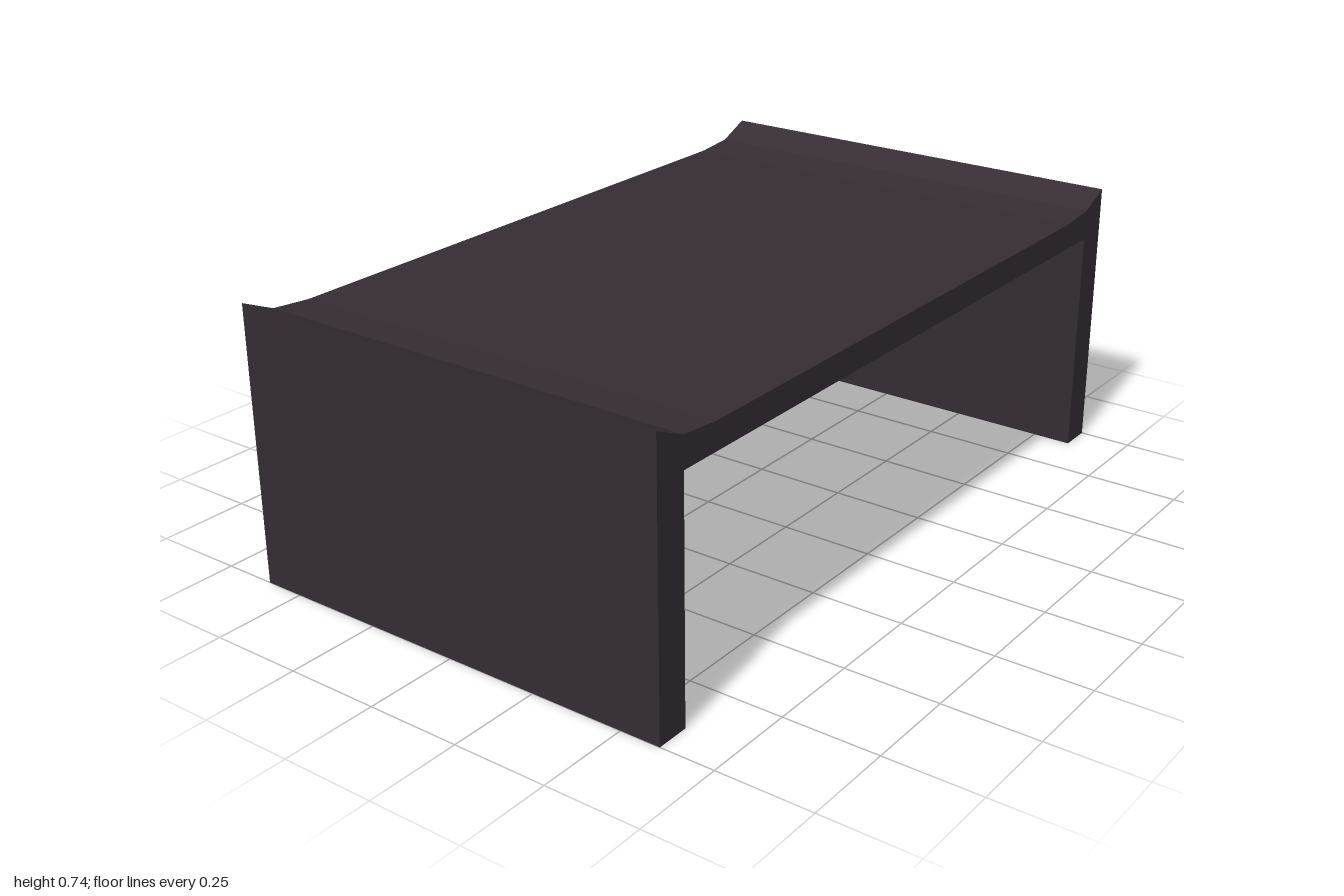
import * as THREE from 'three';

export function createModel() {
  const group = new THREE.Group();
  group.name = 'table';

  const darkWood = new THREE.MeshStandardMaterial({ color: 0x352c34 });
  darkWood.name = 'darkWood';

  const depth = 1.214;

  // Right half of the front outline, from the underside centre round to the top centre
  const half = [
    [0.91, 0.615], // inner corner under the top
    [0.91, 0], [1, 0], // foot of the side panel
    [1, 0.735], [0.91, 0.695], [0.8, 0.685], // upturned end lip
  ];
  const mirrored = half.map(([x, y]) => [-x, y]).reverse();
  const outline = new THREE.Shape(
    [...half, ...mirrored].map(([x, y]) => new THREE.Vector2(x, y))
  );

  // Table top and side panels in one continuous piece
  const geometry = new THREE.ExtrudeGeometry(outline, { depth, bevelEnabled: false });
  geometry.translate(0, 0, -depth / 2);
  const body = new THREE.Mesh(geometry, darkWood);
  body.name = 'tableTopAndSidePanels';
  group.add(body);

  return group;
}
